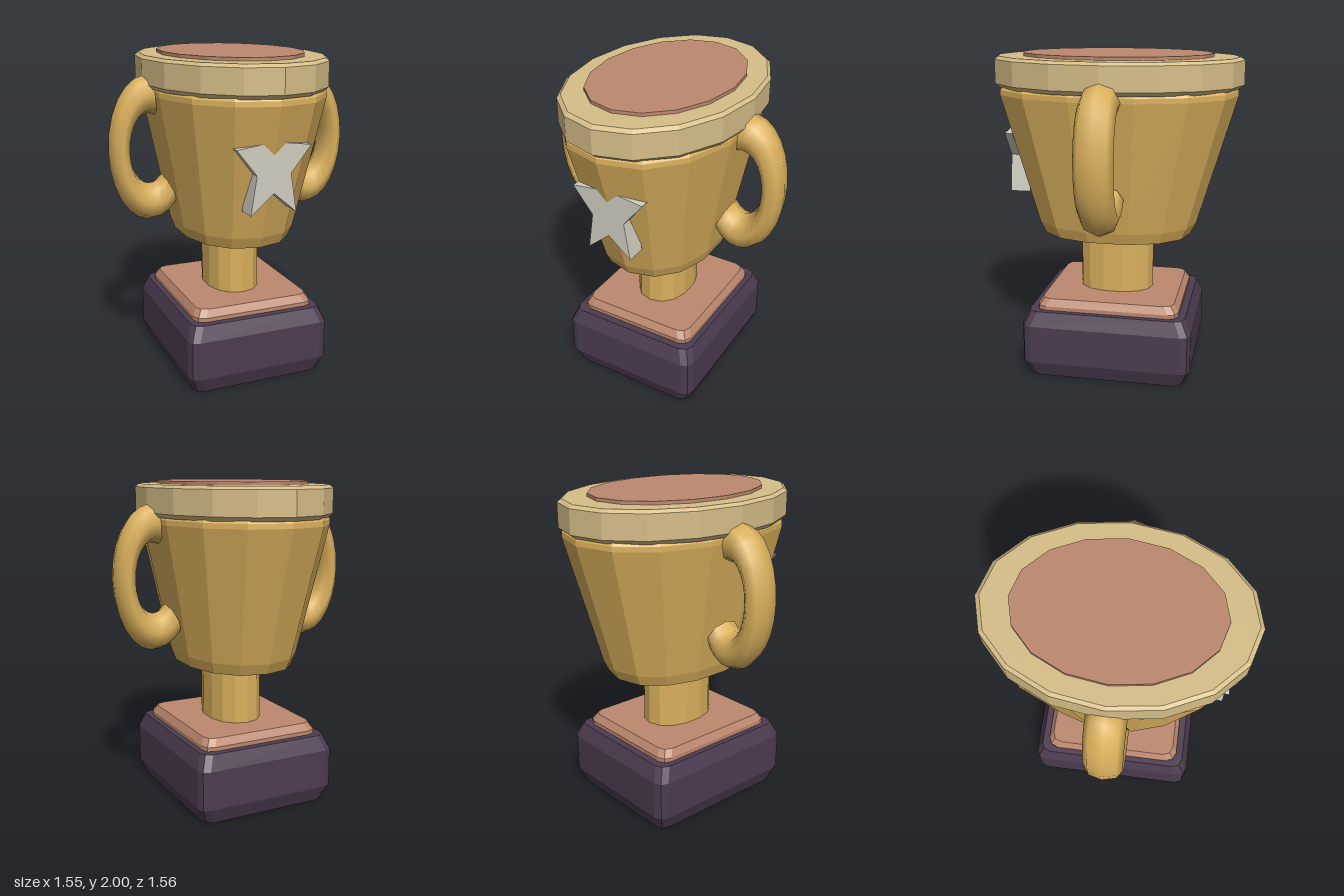
import * as THREE from 'three';

const mat = (name, color, flatShading = true) => {
  const m = new THREE.MeshStandardMaterial({ color, flatShading });
  m.name = name;
  return m;
};

// Oval cross-section; power 2 is an ellipse, higher is squarer
const oval = (sides, power = 2) => (rx, rz) => {
  const bend = (v) => Math.sign(v) * Math.abs(v) ** (2 / power);
  return Array.from({ length: sides }, (_, i) => {
    const t = (i / sides) * Math.PI * 2;
    return [rx * bend(Math.sin(t)), rz * bend(Math.cos(t))];
  });
};

// Rectangle cross-section with rounded corners
const roundedRect = (radius) => (rx, rz) => {
  const points = [];
  for (let k = 0; k < 4; k++) {
    const sx = k < 2 ? 1 : -1, sz = k === 0 || k === 3 ? 1 : -1;
    for (let j = 0; j < 3; j++) {
      const t = (k + j / 2) * Math.PI / 2;
      points.push([sx * (rx - radius) + radius * Math.sin(t), sz * (rz - radius) + radius * Math.cos(t)]);
    }
  }
  return points;
};

// Closed solid through layers of [y, half width, half depth]
function loft(section, layers) {
  const pos = [];
  const rings = layers.map(([y, rx, rz]) => section(rx, rz).map(([x, z]) => [x, y, z]));
  const n = rings[0].length, last = rings.length - 1;
  const tri = (...corners) => corners.forEach((c) => pos.push(...c));
  for (let i = 0; i < n; i++) {
    const k = (i + 1) % n;
    for (let r = 0; r < last; r++) {
      const a = rings[r], b = rings[r + 1];
      tri(a[i], a[k], b[k]);
      tri(a[i], b[k], b[i]);
    }
    tri([0, layers[0][0], 0], rings[0][k], rings[0][i]);
    tri([0, layers[last][0], 0], rings[last][i], rings[last][k]);
  }
  const g = new THREE.BufferGeometry();
  g.setAttribute('position', new THREE.Float32BufferAttribute(pos, 3));
  g.computeVertexNormals();
  return g;
}

export function createModel() {
  const model = new THREE.Group();
  model.name = 'trophy';
  const gold = mat('gold', 0xdab05c);
  const smoothGold = gold;
  const paleGold = mat('pale gold', 0xd6be88);
  const copper = mat('copper', 0xbc886e);
  const plum = mat('plum', 0x4c3b50);
  const silver = mat('silver', 0xcfccc0);
  gold.flatShading = false;

  const add = (name, geometry, material, parent = model) => {
    const mesh = new THREE.Mesh(geometry, material);
    mesh.name = name;
    parent.add(mesh);
    return mesh;
  };

  // Plinth and the plate on it
  add('base', loft(roundedRect(0.06), [
    [0, 0.42, 0.49], [0.1, 0.46, 0.53], [0.34, 0.46, 0.53], [0.43, 0.425, 0.49],
  ]), plum);
  add('basePlate', loft(roundedRect(0.06), [
    [0.42, 0.39, 0.445], [0.455, 0.39, 0.445], [0.5, 0.365, 0.415],
  ]), copper);

  // Stem and bowl
  add('stem', loft(oval(14, 2.2), [[0.49, 0.167, 0.237], [0.9, 0.167, 0.237]]), gold);
  add('bowl', loft(oval(14, 2.2), [
    [0.87, 0.337, 0.475], [0.94, 0.362, 0.51], [1.75, 0.523, 0.747], [1.78, 0.523, 0.745], [1.8, 0.51, 0.73],
  ]), gold);

  // Rim and the disc inside it
  add('rim', loft(oval(16), [
    [1.79, 0.535, 0.745], [1.815, 0.555, 0.778], [1.962, 0.555, 0.778], [1.98, 0.535, 0.752],
  ]), paleGold);
  add('topDisc', loft(oval(16), [[1.97, 0.425, 0.593], [2, 0.425, 0.593]]), copper);

  // Handles: stretched open rings with closed ends
  const ringRadius = 0.33, tube = 0.115, reach = THREE.MathUtils.degToRad(130);
  for (const side of [1, -1]) {
    const handle = new THREE.Group();
    handle.name = side > 0 ? 'leftHandle' : 'rightHandle';
    handle.position.set(side * 0.527, 1.425, 0);
    handle.scale.set(0.56, 1, 1);
    if (side < 0) handle.rotation.y = Math.PI;
    model.add(handle);
    add('handleRing', new THREE.TorusGeometry(ringRadius, tube, 8, 18, reach * 2).rotateZ(-reach), smoothGold, handle);
    for (const end of [1, -1]) {
      const cap = new THREE.CircleGeometry(tube, 8).rotateX(-end * Math.PI / 2);
      cap.translate(ringRadius, 0, 0).rotateZ(end * reach);
      add('handleEnd', cap, smoothGold, handle);
    }
  }

  // Narrow five-pointed star, its upper point sunk into the bowl
  const star = new THREE.Shape();
  for (let i = 0; i < 10; i++) {
    const r = i % 2 ? 0.158 : 0.344, t = (i / 10) * Math.PI * 2;
    const x = 0.7 * r * Math.sin(t), y = 1.408 + r * Math.cos(t);
    if (i) star.lineTo(x, y);
    else star.moveTo(x, y);
  }
  star.closePath();
  add('star', new THREE.ExtrudeGeometry(star, { depth: 0.125, bevelEnabled: false }).translate(0, 0, 0.54), silver);

  return model;
}
